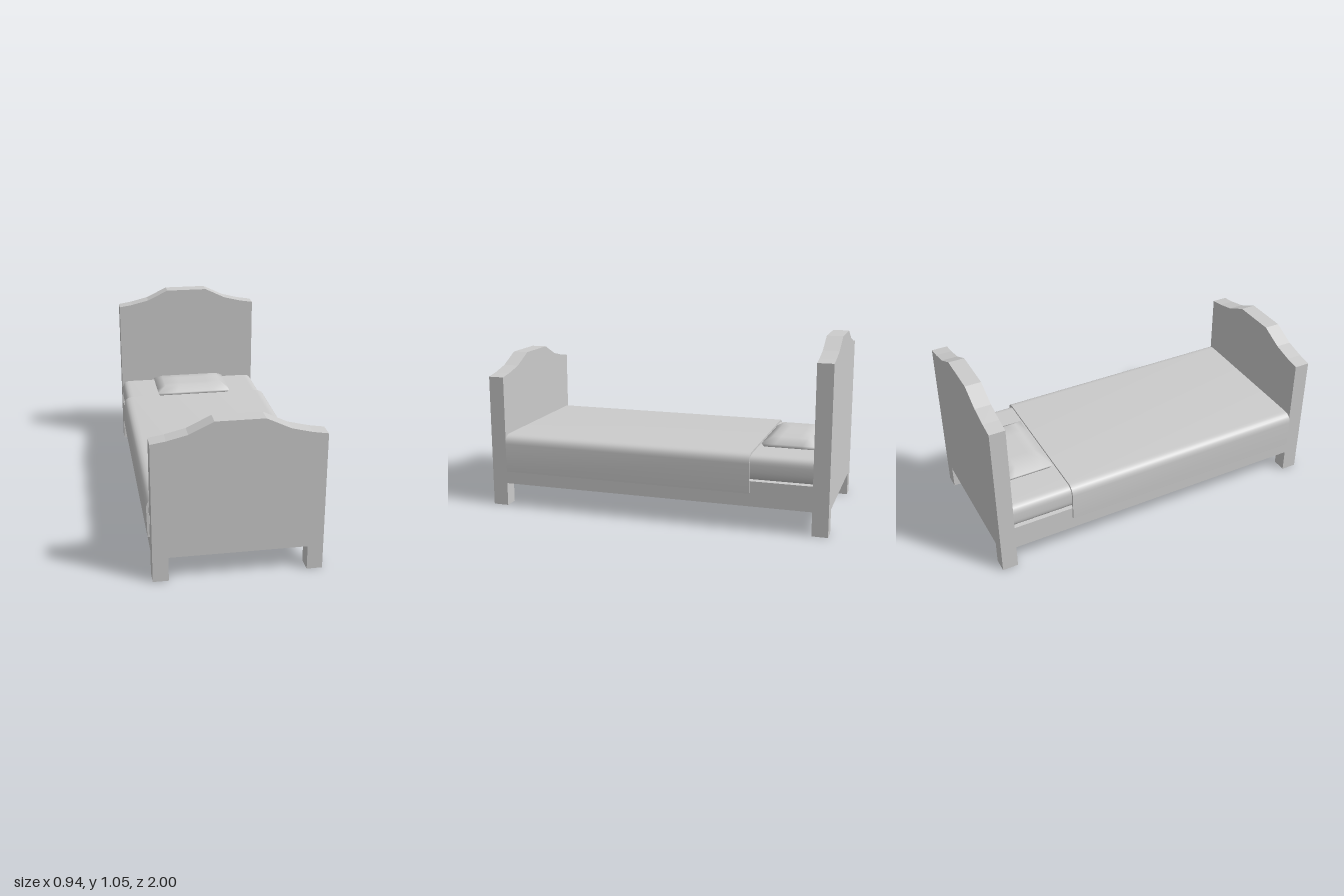
import * as THREE from 'three';
import { toCreasedNormals, mergeVertices } from 'three/addons/utils/BufferGeometryUtils.js';

const grey = new THREE.MeshStandardMaterial({ color: 0xcccccc });

function add(group, name, geometry) {
  const mesh = new THREE.Mesh(geometry, grey);
  mesh.name = name;
  group.add(mesh);
  return mesh;
}

// Extrude an x/y outline from z0 to z1
function extrude(shape, z0, z1) {
  const geo = new THREE.ExtrudeGeometry(shape, { depth: z1 - z0, bevelEnabled: false, curveSegments: 6 });
  return geo.translate(0, 0, z0);
}

// End board with stepped-curve top and two legs cut into its lower edge
function endBoard(topY) {
  const crest = [[0.452, -0.102], [0.37, -0.089], [0.26, -0.062], [0.13, 0]];
  const half = [[0.368, 0.136], [0.368, 0], [0.452, 0], ...crest.map(([x, y]) => [x, topY + y])];
  const mirrored = half.map(([x, y]) => [-x, y]).reverse();
  return new THREE.Shape([...half, ...mirrored].map(([x, y]) => new THREE.Vector2(x, y)));
}

// Rounded mattress section
function mattressShape() {
  const w = 0.45, b = 0.28, t = 0.422, r = 0.05;
  const s = new THREE.Shape();
  s.moveTo(-w + r, b);
  s.lineTo(w - r, b);
  s.quadraticCurveTo(w, b, w, b + r);
  s.lineTo(w, t - r);
  s.quadraticCurveTo(w, t, w - r, t);
  s.lineTo(-w + r, t);
  s.quadraticCurveTo(-w, t, -w, t - r);
  s.lineTo(-w, b + r);
  s.quadraticCurveTo(-w, b, -w + r, b);
  return s;
}

// Thin blanket section draped over the mattress
function blanketShape() {
  const s = new THREE.Shape();
  s.moveTo(0.464, 0.212);
  s.lineTo(0.468, 0.38);
  s.quadraticCurveTo(0.466, 0.434, 0.41, 0.434);
  s.lineTo(-0.41, 0.434);
  s.quadraticCurveTo(-0.466, 0.434, -0.468, 0.38);
  s.lineTo(-0.464, 0.212);
  s.lineTo(-0.452, 0.212);
  s.lineTo(-0.455, 0.375);
  s.quadraticCurveTo(-0.453, 0.423, -0.4, 0.423);
  s.lineTo(0.4, 0.423);
  s.quadraticCurveTo(0.453, 0.423, 0.455, 0.375);
  s.lineTo(0.452, 0.212);
  return s;
}

// Cushion: box layers shrunk by height, with smooth normals
function pillowGeometry() {
  const layers = [[0.42, 0.225, 0.14], [0.442, 0.237, 0.154], [0.475, 0.185, 0.1]];
  const geo = new THREE.BoxGeometry(2, 2, 2, 4, 2, 4);
  const p = geo.attributes.position;
  for (let i = 0; i < p.count; i++) {
    const [y, w, d] = layers[Math.round(p.getY(i)) + 1];
    p.setXYZ(i, p.getX(i) * w, y, p.getZ(i) * d - 0.734);
  }
  geo.deleteAttribute('normal');
  geo.deleteAttribute('uv');
  const smooth = mergeVertices(geo);
  smooth.computeVertexNormals();
  return smooth;
}

export function createModel() {
  const bed = new THREE.Group();
  bed.name = 'bed';

  // Boards with legs
  add(bed, 'footboard', extrude(endBoard(0.877), 0.91, 1));
  add(bed, 'headboard', extrude(endBoard(1.051), -1, -0.91));

  // Solid base between the boards
  add(bed, 'base', new THREE.BoxGeometry(0.904, 0.144, 1.82).translate(0, 0.208, 0));

  // Bedding
  add(bed, 'mattress', toCreasedNormals(extrude(mattressShape(), -0.91, 0.91), 0.7));
  add(bed, 'blanket', toCreasedNormals(extrude(blanketShape(), -0.563, 0.903), 0.7));
  add(bed, 'pillow', pillowGeometry());

  return bed;
}
